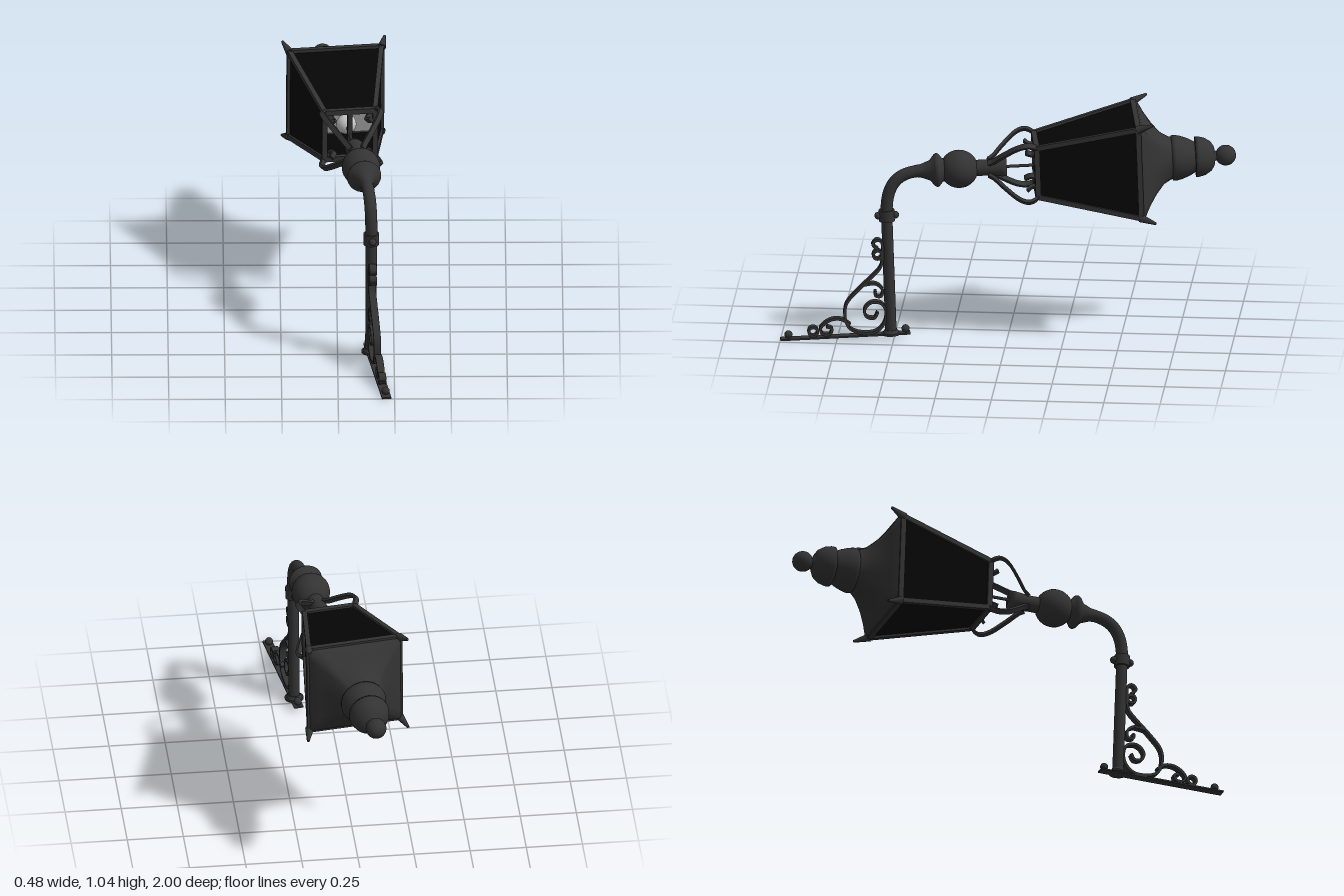
import * as THREE from 'three';

const iron = new THREE.MeshStandardMaterial({ color: 0x333333, side: THREE.DoubleSide });
iron.name = 'castIron';
const glass = new THREE.MeshStandardMaterial({ color: 0x060606, side: THREE.DoubleSide });
glass.name = 'darkGlass';
const pale = new THREE.MeshStandardMaterial({ color: 0x9a9a9a });
pale.name = 'paleLining';
const bulbGrey = new THREE.MeshStandardMaterial({ color: 0xc4c4c4 });
bulbGrey.name = 'bulbGrey';

function add(parent, name, geometry, material = iron, x = 0, y = 0, z = 0) {
  const mesh = new THREE.Mesh(geometry, material);
  mesh.name = name;
  mesh.position.set(x, y, z);
  parent.add(mesh);
  return mesh;
}

const v2 = (list) => list.map(([x, y]) => new THREE.Vector2(x, y));
const lathe = (list, segments = 32) => new THREE.LatheGeometry(v2(list), segments);

// Square bar between two points
function bar(parent, name, a, b, width) {
  const p = new THREE.Vector3(...a), q = new THREE.Vector3(...b);
  const dir = q.clone().sub(p);
  const mesh = add(parent, name, new THREE.BoxGeometry(width, dir.length(), width));
  mesh.position.copy(p).add(q).multiplyScalar(0.5);
  mesh.quaternion.setFromUnitVectors(new THREE.Vector3(0, 1, 0), dir.normalize());
  return mesh;
}

// Flat iron strap bent along a 2D curve, centred on its own plane
function strap(list, thickness, depth) {
  const curve = new THREE.SplineCurve(v2(list));
  const n = list.length * 5, left = [], right = [];
  for (let i = 0; i <= n; i++) {
    const p = curve.getPoint(i / n), t = curve.getTangent(i / n);
    const off = new THREE.Vector2(-t.y, t.x).multiplyScalar(thickness / 2);
    left.push(p.clone().add(off));
    right.unshift(p.clone().sub(off));
  }
  const g = new THREE.ExtrudeGeometry(new THREE.Shape([...left, ...right]),
    { depth, bevelEnabled: false });
  g.translate(0, 0, -depth / 2);
  return g;
}

// Lantern built upright along +y, laid over by its group
function makeLantern() {
  const g = new THREE.Group();
  g.name = 'lantern';

  add(g, 'ballNeck', lathe([
    [0.026, -0.2], [0.03, -0.17], [0.045, -0.13], [0.07, -0.11], [0.076, -0.1],
    [0.073, -0.09], [0.052, -0.074], [0.052, -0.066]]));
  add(g, 'ball', new THREE.SphereGeometry(0.085, 32, 20));
  add(g, 'collar', lathe([[0.036, 0.07], [0.036, 0.12], [0.043, 0.19], [0.043, 0.21], [0, 0.21]]));
  add(g, 'supplyRod', new THREE.CylinderGeometry(0.007, 0.007, 0.25, 10), iron, 0, 0.31, 0);
  add(g, 'bulb', new THREE.SphereGeometry(0.045, 20, 14), bulbGrey, 0, 0.45, 0);

  // Tapered glass body and its frame
  const yb = 0.342, yt = 0.79, hb = 0.113, ht = 0.206;
  const signs = [[1, 1], [1, -1], [-1, -1], [-1, 1]];
  const bracket = strap([[0.04, 0.13], [0.058, 0.155], [0.11, 0.2], [0.165, 0.255], [0.184, 0.3],
    [0.165, 0.337], [0.128, 0.346], [0.105, 0.322], [0.125, 0.295]], 0.014, 0.024);
  signs.forEach(([x, z], i) => {
    const [nx, nz] = signs[(i + 1) % 4];
    const low = [x * hb, yb, z * hb], high = [x * ht, yt, z * ht];
    const nextLow = [nx * hb, yb, nz * hb], nextHigh = [nx * ht, yt, nz * ht];
    bar(g, 'cornerBar', low, high, 0.022);
    bar(g, 'lowerRail', low, nextLow, 0.024);
    bar(g, 'upperRail', high, nextHigh, 0.024);

    const pane = new THREE.BufferGeometry();
    pane.setAttribute('position',
      new THREE.Float32BufferAttribute([...low, ...nextLow, ...nextHigh, ...high], 3));
    pane.setIndex([0, 1, 2, 0, 2, 3]);
    pane.computeVertexNormals();
    add(g, 'glassPane', pane, glass);

    // Corner horn leaning outward
    const horn = add(g, 'cornerHorn', new THREE.CylinderGeometry(0.006, 0.02, 0.075, 8),
      iron, x * 0.217, 0.82, z * 0.217);
    horn.quaternion.setFromUnitVectors(new THREE.Vector3(0, 1, 0),
      new THREE.Vector3(x * 0.35, 1, z * 0.35).normalize());

    // Curled support from the collar to each lower corner
    add(g, 'curledBracket', bracket).rotation.y = Math.PI / 4 + i * Math.PI / 2;
  });
  bar(g, 'floorBar', [0, yb, -hb], [0, yb, hb], 0.022);
  add(g, 'ceiling', new THREE.BoxGeometry(0.39, 0.008, 0.39), pale, 0, 0.782, 0);

  // Concave roof: square at the eaves, round at the top
  const roof = lathe([[0.212, 0.79], [0.206, 0.808], [0.172, 0.832], [0.14, 0.865],
    [0.112, 0.9], [0.095, 0.935], [0.093, 0.95]], 48);
  const pos = roof.attributes.position;
  for (let i = 0; i < pos.count; i++) {
    const x = pos.getX(i), y = pos.getY(i), z = pos.getZ(i);
    const square = Math.hypot(x, z) / Math.max(Math.abs(x), Math.abs(z));
    const k = THREE.MathUtils.lerp(1, square, Math.min(1, (0.95 - y) / 0.13));
    pos.setXYZ(i, x * k, y, z * k);
  }
  roof.computeVertexNormals();
  add(g, 'roof', roof);

  // Tiered cap and finial
  add(g, 'lowerCap', lathe([[0.085, 0.94], [0.1, 0.945], [0.102, 0.96], [0.096, 0.985],
    [0.083, 1.02], [0.068, 1.045], [0.066, 1.055]]));
  add(g, 'upperCap', lathe([[0.06, 1.046], [0.09, 1.048], [0.09, 1.062], [0.083, 1.09],
    [0.065, 1.118], [0.042, 1.132], [0.022, 1.136], [0.02, 1.155]]));
  add(g, 'finial', new THREE.SphereGeometry(0.046, 24, 16), iron, 0, 1.183, 0);

  g.rotation.x = -Math.PI / 2;
  return g;
}

// Post, foot plate and scrollwork; origin at the foot of the post
function makePost() {
  const g = new THREE.Group();
  g.name = 'post';
  add(g, 'shaft', new THREE.CylinderGeometry(0.025, 0.025, 0.58, 20), iron, 0, 0.29, 0);
  add(g, 'footRing', new THREE.CylinderGeometry(0.028, 0.036, 0.016, 20), iron, 0, 0.008, 0);
  add(g, 'postCollar', new THREE.CylinderGeometry(0.035, 0.035, 0.052, 16), iron, 0, 0.547, 0);
  for (const s of [1, -1]) {
    add(g, 'collarKnob', new THREE.SphereGeometry(0.017, 14, 10), iron, 0, 0.547, s * 0.038);
  }

  // Curved pipe from the post to the ball
  const bend = new THREE.CubicBezierCurve3(
    new THREE.Vector3(0, 0.55, 0), new THREE.Vector3(0, 0.685, 0),
    new THREE.Vector3(0, 0.745, -0.05), new THREE.Vector3(0, 0.745, -0.16));
  add(g, 'elbowPipe', new THREE.TubeGeometry(bend, 28, 0.027, 18));

  // Foot plate with bolts
  add(g, 'footPlate', new THREE.BoxGeometry(0.042, 0.007, 0.577), iron, 0, -0.004, 0.203);
  add(g, 'footDisc', new THREE.CylinderGeometry(0.042, 0.042, 0.008, 20), iron, 0, -0.003, 0);
  for (const z of [-0.065, 0.455]) {
    add(g, 'bolt', new THREE.SphereGeometry(0.018, 16, 12), iron, 0, 0.016, z);
  }

  // Scrolls in the plane of the post
  const ring = (a, b, r) => Array.from({ length: 9 }, (_, i) =>
    [a + r * Math.cos(i * Math.PI / 4), b + r * Math.sin(i * Math.PI / 4)]);
  const scrolls = [
    ['mainScroll', [[0.045, 0.393], [0.067, 0.415], [0.05, 0.436], [0.028, 0.425], [0.024, 0.388],
      [0.026, 0.35], [0.038, 0.307], [0.077, 0.266], [0.144, 0.204], [0.19, 0.152], [0.202, 0.098],
      [0.188, 0.039], [0.14, 0.01], [0.07, 0.01], [0.028, 0.05], [0.02, 0.103], [0.038, 0.14],
      [0.081, 0.147], [0.112, 0.12], [0.108, 0.084], [0.073, 0.074], [0.056, 0.1]]],
    ['innerCurl', [[0.115, 0.23], [0.062, 0.233], [0.032, 0.205], [0.038, 0.175], [0.063, 0.178],
      [0.063, 0.2]]],
    ['outerScroll', [[0.18, 0.05], [0.222, 0.077], [0.27, 0.074], [0.31, 0.043], [0.305, 0.014],
      [0.272, 0.01], [0.262, 0.035], [0.285, 0.045]]],
    ['topCurl', ring(0.048, 0.367, 0.019)],
    ['endCurl', ring(0.345, 0.025, 0.02)],
  ];
  for (const [name, list] of scrolls) {
    add(g, name, strap(list, 0.012, 0.032)).rotation.y = -Math.PI / 2;
  }
  g.position.set(0, -0.745, 0.328);
  return g;
}

export function createModel() {
  const model = new THREE.Group();
  model.name = 'wallLantern';
  const body = new THREE.Group();
  body.name = 'lampBody';
  body.add(makeLantern(), makePost());
  // Whole lamp is turned and tipped slightly
  body.rotation.set(0.035, 0.139, 0, 'YXZ');
  body.position.set(0.105, 0.782, 0.215);
  model.add(body);
  return model;
}
